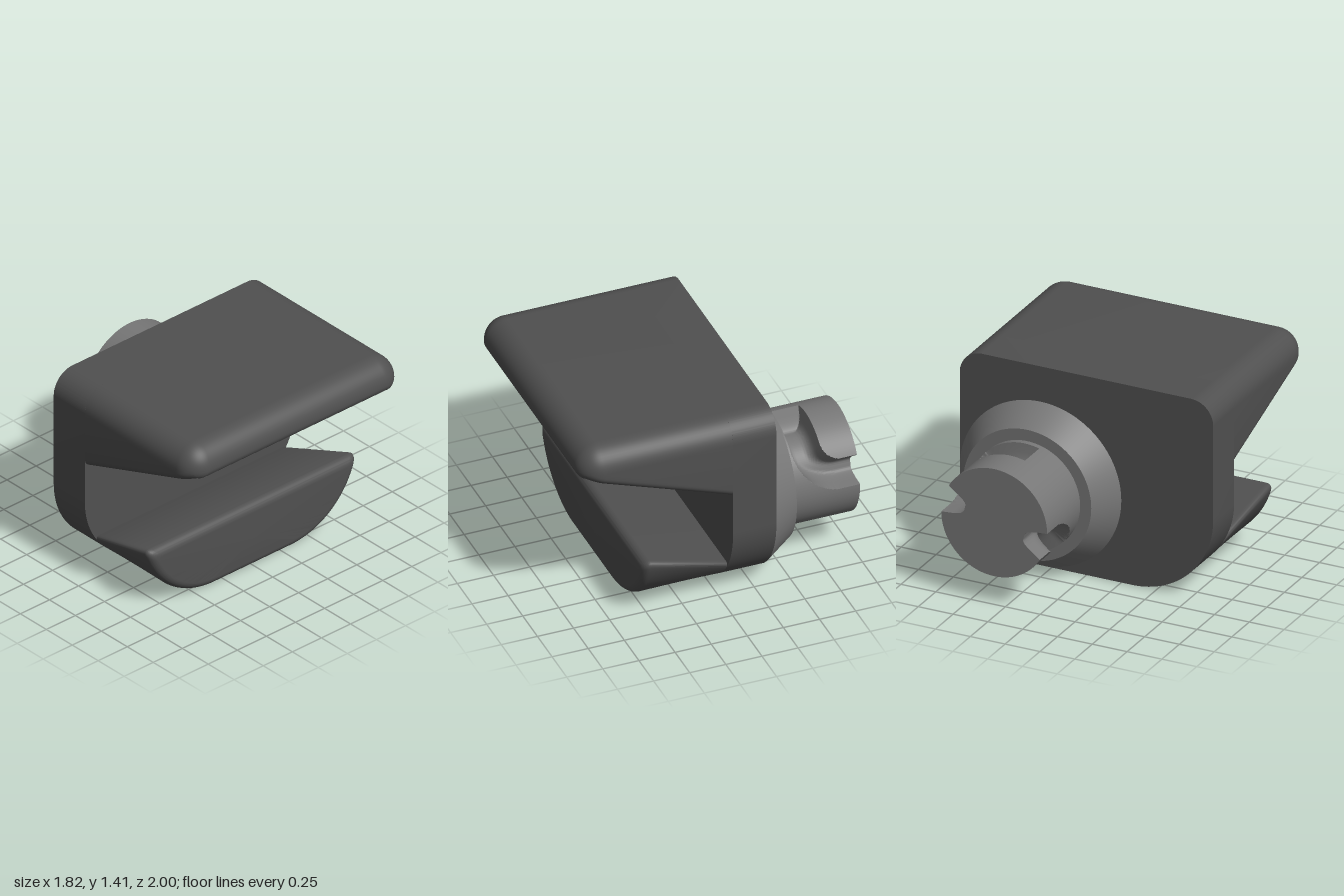
import * as THREE from 'three';
import { toCreasedNormals } from 'three/addons/utils/BufferGeometryUtils.js';

const W = 0.91, H = 1.41;            // half width and height of the body
const BACK = -0.34, INNER = -0.04;   // back plate, from back to inner face
const R_TOP = 0.16, R_LOW = 0.58;    // outline corner radii
const R_EDGE = 0.06;                 // small edge rounding
const PX = W - R_LOW, PY = R_LOW;    // axis of the plug
const SLOPE = 0.36;                  // slope of the jaw faces

// Skin through rings of [x, y] points (counter-clockwise from the front), z rising
function loft(rings, zs, crease = 0.6) {
  const n = rings[0].length, pos = [], idx = [];
  rings.forEach((ring, i) => ring.forEach(([x, y]) => pos.push(x, y, zs[i])));
  for (let i = 0; i < rings.length - 1; i++) {
    for (let j = 0; j < n; j++) {
      const a = i * n + j, b = i * n + (j + 1) % n;
      idx.push(a, b, b + n, a, b + n, a + n);
    }
  }
  // End caps as fans around the ring centres
  [0, rings.length - 1].forEach((i) => {
    const c = pos.length / 3;
    const mean = (k) => rings[i].reduce((s, p) => s + p[k], 0) / n;
    pos.push(mean(0), mean(1), zs[i]);
    for (let j = 0; j < n; j++) {
      const a = i * n + j, b = i * n + (j + 1) % n;
      if (i === 0) idx.push(c, b, a); else idx.push(c, a, b);
    }
  });
  const g = new THREE.BufferGeometry();
  g.setAttribute('position', new THREE.Float32BufferAttribute(pos, 3));
  g.setIndex(idx);
  return toCreasedNormals(g, crease);
}

const mirror = (half) => [...half, ...half.map(([x, y]) => [-x, y]).reverse()];

function arc(cx, cy, r, a0, a1, steps) {
  return Array.from({ length: steps + 1 }, (_, i) => {
    const a = a0 + (a1 - a0) * i / steps;
    return [cx + r * Math.cos(a), cy + r * Math.sin(a)];
  });
}

// Inset of a rounded front edge of radius r that ends at zEnd
function inset(z, zEnd, r) {
  const d = Math.max(0, z - (zEnd - r));
  return r - Math.sqrt(Math.max(0, r * r - d * d));
}

// z stations: straight part, then closer together over the rounded nose
function stations(zEnd, r) {
  const zs = [INNER];
  for (let i = 0; i <= 20; i++) zs.push(zEnd - r + r * Math.sin(i / 20 * Math.PI / 2));
  return zs;
}

// Upper jaw: wedge with a rounded nose
function upperJaw() {
  const zs = stations(1, R_TOP), noseY = H - R_TOP, zc = 1 - R_EDGE;
  const rings = zs.map((z) => {
    const e = inset(z, 1, R_TOP), w = W - e, rt = R_TOP - e;
    const low = z < zc + 0.02
      ? 0.845 + SLOPE * 0.984 * (z - INNER)
      : noseY - Math.sqrt(Math.max(0, R_EDGE ** 2 - (z - zc) ** 2));
    const rb = Math.max(0, Math.min(R_EDGE, noseY - low));
    return mirror([
      ...arc(w - rb, low + rb, rb, -Math.PI / 2, 0, 8),
      ...arc(w - rt, H - e - rt, rt, 0, Math.PI / 2, 12),
    ]);
  });
  return loft(rings, zs);
}

// Lower jaw: round-bottomed lip with a sloping top
function lowerJaw() {
  const end = 0.575, zs = stations(end, R_EDGE), zc = end - R_EDGE;
  const rings = zs.map((z) => {
    const r = R_LOW - inset(z, end, R_EDGE);
    const line = 0.278 + SLOPE * (z - INNER);
    const nose = 0.41 + Math.sqrt(Math.max(0, R_EDGE ** 2 - Math.max(0, z - zc) ** 2));
    const cut = Math.min(line, nose);
    const phi = Math.asin((cut - PY) / r), tip = [PX + r * Math.cos(phi), cut];
    const side = arc(PX, PY, r, -Math.PI / 2, phi - 0.08, 24);
    const a = side[side.length - 1], b = [tip[0] - 0.05, cut];
    const round = [1, 2, 3, 4, 5, 6].map((i) => {
      const t = i / 6, s = 1 - t;
      return [0, 1].map((k) => s * s * a[k] + 2 * s * t * tip[k] + t * t * b[k]);
    });
    return mirror([...side, ...round]);
  });
  return loft(rings, zs);
}

// Back plate: small top corners, large bottom corners
function backPlate() {
  const s = new THREE.Shape();
  s.absarc(PX, PY, R_LOW, -Math.PI / 2, 0, false);
  s.absarc(W - R_TOP, H - R_TOP, R_TOP, 0, Math.PI / 2, false);
  s.absarc(R_TOP - W, H - R_TOP, R_TOP, Math.PI / 2, Math.PI, false);
  s.absarc(-PX, PY, R_LOW, Math.PI, Math.PI * 1.5, false);
  const g = new THREE.ExtrudeGeometry(s, { depth: INNER - BACK, bevelEnabled: false, curveSegments: 24 });
  g.translate(0, 0, BACK);
  return toCreasedNormals(g, 0.6);
}

// Bayonet plug: cylinder with two curved locking slots, half a turn apart
function plug() {
  const R = 0.38, halfW = 0.1, depth = 0.16, bend = 0.23;
  const u0 = 0.1, zLock = -0.67, uEnd = 0.6, uc = u0 + bend, zc = zLock - bend;
  const slotDistance = (u, z) => {
    if (u > uEnd) return Math.max(u - uEnd, Math.abs(z - zLock));
    if (u > uc) return Math.abs(z - zLock);
    if (z < zc) return Math.abs(u - u0);
    return Math.abs(Math.hypot(u - uc, z - zc) - bend);
  };
  const radius = (a, z) => {
    const d = slotDistance((a % Math.PI) * R, z) / halfW;
    return d < 1 ? R - depth * Math.sqrt(1 - d ** 4) : R;
  };
  const N = 360, M = 80, rings = [], zs = [];
  for (let i = 0; i <= M; i++) {
    const z = -1 + 0.48 * i / M;
    zs.push(z);
    rings.push(Array.from({ length: N }, (_, j) => {
      const a = j / N * Math.PI * 2, r = radius(a, z);
      return [PX + r * Math.cos(a), PY + r * Math.sin(a)];
    }));
  }
  return loft(rings, zs, 0.7);
}

// Tapered collar between plate and plug
function collar() {
  const len = 0.19;
  const g = new THREE.CylinderGeometry(0.46, R_LOW, len, 96);
  g.rotateX(-Math.PI / 2);
  g.translate(PX, PY, BACK - len / 2);
  return g;
}

export function createModel() {
  const dark = new THREE.MeshStandardMaterial({ color: 0x505050 });
  const light = new THREE.MeshStandardMaterial({ color: 0x777777 });
  const model = new THREE.Group();
  model.name = 'clampHead';
  const add = (name, geometry, material) => {
    const mesh = new THREE.Mesh(geometry, material);
    mesh.name = name;
    model.add(mesh);
  };
  add('backPlate', backPlate(), dark);
  add('upperJaw', upperJaw(), dark);
  add('lowerJaw', lowerJaw(), dark);
  add('collar', collar(), light);
  add('bayonetPlug', plug(), light);
  return model;
}
